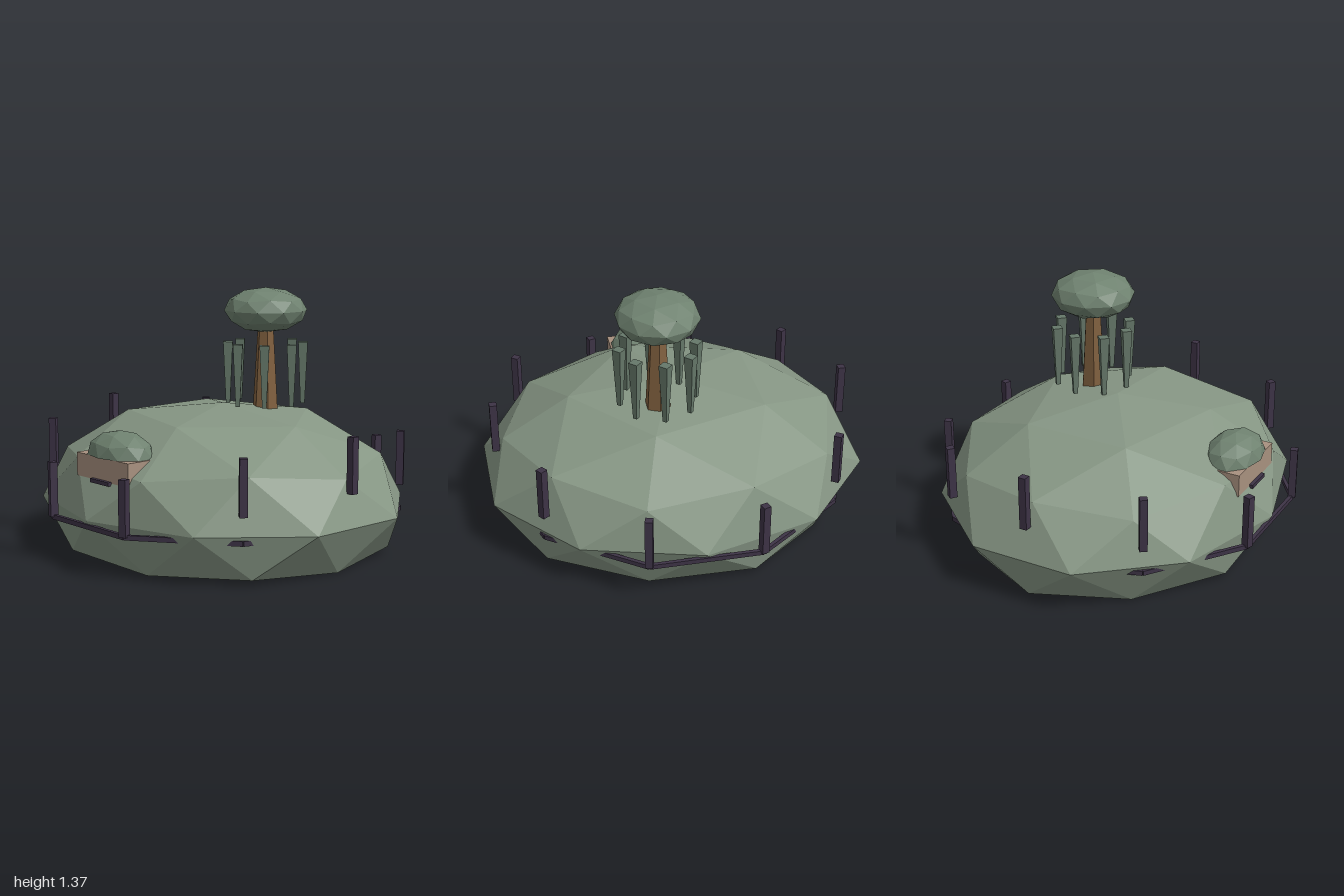
import * as THREE from 'three';
import { ConvexGeometry } from 'three/addons/geometries/ConvexGeometry.js';

const mat = (color) => new THREE.MeshStandardMaterial({ color, flatShading: true });
const moss = mat(0x869684), leaf = mat(0x6f8270), vineMat = mat(0x66786a);
const bark = mat(0x80603f), post = mat(0x3d3346), clay = mat(0xa8917f);

// Rings of a once-subdivided icosahedron: [height, radius, first angle in degrees, count]
const UPPER = [[1, 0, 0, 1], [0.851, 0.526, 0, 5], [0.526, 0.851, 36, 5], [0.447, 0.894, 0, 5], [0, 1, 18, 10]];
const LOWER = [[-0.447, 0.894, 36, 5], [-0.526, 0.851, 0, 5], [-0.851, 0.526, 36, 5], [-1, 0, 0, 1]];

// Each ring: [y, x radius, z radius, first angle, count]
function facetedHull(rings) {
  const points = [];
  for (const [y, rx, rz, start, n] of rings) {
    for (let i = 0; i < n; i++) {
      const a = THREE.MathUtils.degToRad(start + (i * 360) / n);
      points.push(new THREE.Vector3(rx * Math.cos(a), y, rz * Math.sin(a)));
    }
  }
  return new ConvexGeometry(points);
}

const blob = (rings, sx, sy, sz) =>
  facetedHull(rings.map(([y, r, a, n]) => [y * sy, r * sx, r * sz, a, n]));

export function createModel() {
  const model = new THREE.Group();
  const add = (name, geometry, material, x = 0, y = 0, z = 0, turn = 0, parent = model) => {
    const mesh = new THREE.Mesh(geometry, material);
    mesh.name = name;
    mesh.position.set(x, y, z);
    mesh.rotation.y = turn;
    parent.add(mesh);
    return mesh;
  };
  const group = (name) => {
    const g = new THREE.Group();
    g.name = name;
    model.add(g);
    return g;
  };

  // Domed mound with a flat base
  add('mound', facetedHull([
    [0.76, 0, 0, 0, 1],
    [0.7, 0.552, 0.49, 0, 5],
    [0.527, 0.88, 0.8, 36, 5],
    [0.482, 0.91, 0.83, 0, 5],
    [0.258, 1.051, 0.915, 18, 10],
    [0.03, 0.937, 0.83, 36, 5],
    [0, 0.86, 0.78, 0, 5],
  ]), moss);

  // Fence: ten posts that stand higher toward the sides, joined by level rails
  const fence = group('fence');
  const R = 0.95, step = Math.PI / 5;
  const postGeo = new THREE.BoxGeometry(0.04, 0.285, 0.04);
  const railGeo = new THREE.BoxGeometry(0.02, 0.025, 2 * R * Math.sin(step / 2));
  const apothem = R * Math.cos(step / 2);
  const heights = [0.56, 0.5, 0.372];
  for (let i = 0; i < 10; i++) {
    const a = i * step;
    const fromSide = Math.min(i % 5, 5 - (i % 5));
    add('fencePost', postGeo, post, R * Math.cos(a), heights[fromSide], R * Math.sin(a), -a, fence);
    const b = a + step / 2;
    add('fenceRail', railGeo, post, apothem * Math.cos(b), 0.228, apothem * Math.sin(b), -b, fence);
  }

  // Hut set into the front slope
  const hut = group('hut');
  add('hutWalls', new THREE.BoxGeometry(0.42, 0.12, 0.3), clay, 0, 0.505, 0.66, 0, hut);
  add('hutRoof', blob(UPPER, 0.21, 0.125, 0.145), leaf, 0, 0.565, 0.69, 0, hut);
  add('doorStep', new THREE.BoxGeometry(0.15, 0.02, 0.06), post, 0, 0.442, 0.8, 0, hut);

  // Tree on top, with a ring of hanging vines
  const tree = group('tree');
  tree.position.set(0.11, 0, -0.21);
  add('trunk', new THREE.CylinderGeometry(0.042, 0.07, 0.48, 6), bark, 0, 0.94, 0, 0, tree);
  add('canopy', blob([...UPPER, ...LOWER], 0.22, 0.12, 0.225), leaf, 0, 1.25, 0, 0, tree);
  const vineGeo = new THREE.CylinderGeometry(0.036, 0.016, 0.33, 4);
  for (let i = 0; i < 8; i++) {
    const a = (i * Math.PI) / 4;
    add('vine', vineGeo, vineMat, 0.2 * Math.cos(a), 0.915, 0.2 * Math.sin(a), 0, tree);
  }
  return model;
}
